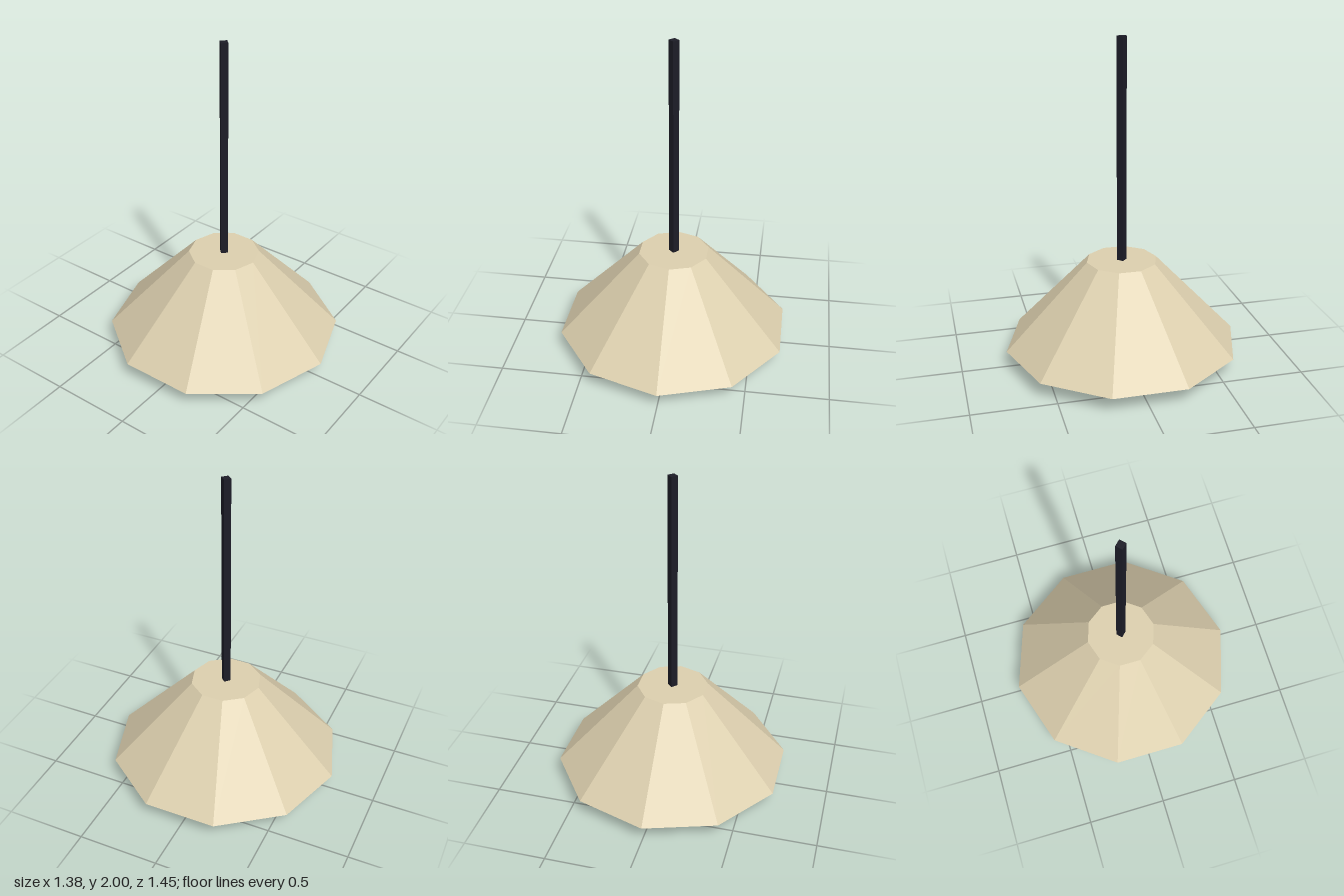
import * as THREE from 'three';

export function createModel() {
  const lamp = new THREE.Group();
  lamp.name = 'pendantLamp';

  const cream = new THREE.MeshStandardMaterial({ color: 0xdccfae, flatShading: true });
  cream.name = 'cream';
  const black = new THREE.MeshStandardMaterial({ color: 0x1c1c27, flatShading: true });
  black.name = 'near black';

  const add = (name, geometry, material, y) => {
    const mesh = new THREE.Mesh(geometry, material);
    mesh.name = name;
    mesh.position.y = y;
    lamp.add(mesh);
    return mesh;
  };

  // Four-sided hanging cord, corners on the axes
  add('cord', new THREE.CylinderGeometry(0.03, 0.03, 1.36, 4), black, 1.32);

  // Ten-sided closed conical shade
  add('shade', new THREE.CylinderGeometry(0.217, 0.725, 0.54, 10), cream, 0.37);

  // Six-sided bulb poking out below, corners on the z axis
  const bulb = add('bulb', new THREE.SphereGeometry(0.18, 6, 4), cream, 0.18);
  bulb.rotation.y = Math.PI / 2;

  return lamp;
}
